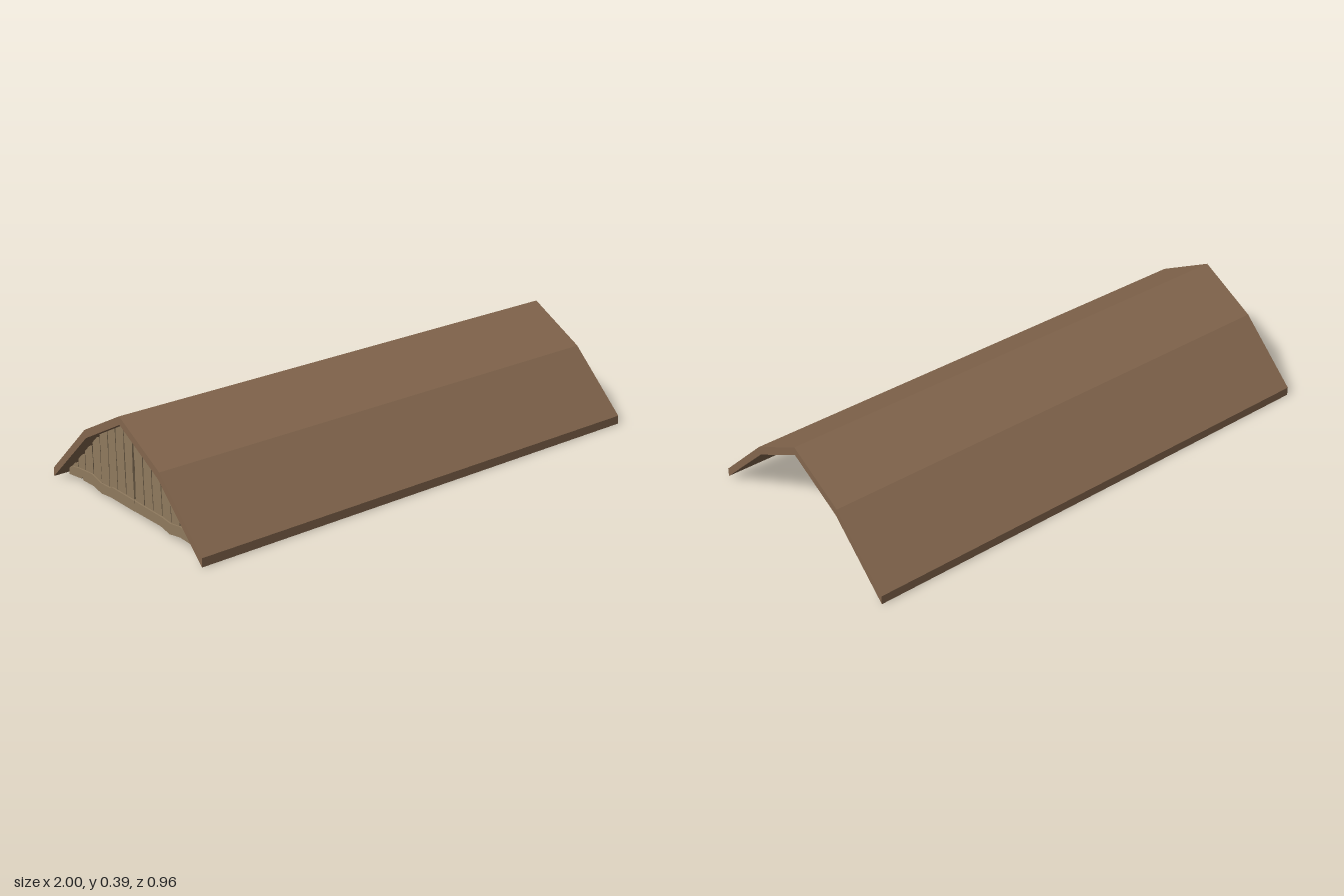
import * as THREE from 'three';

const roofMaterial = new THREE.MeshStandardMaterial({ color: 0x83664d });
const plankMaterial = new THREE.MeshStandardMaterial({ color: 0x8f7a5e });

// Extrudes a (z, y) outline along x, from xMax down to xMax - depth
function slab(name, points, xMax, depth, material) {
  const shape = new THREE.Shape(points.map(([z, y]) => new THREE.Vector2(z, y)));
  const geometry = new THREE.ExtrudeGeometry(shape, { depth, bevelEnabled: false });
  geometry.rotateY(-Math.PI / 2);
  const mesh = new THREE.Mesh(geometry, material);
  mesh.name = name;
  mesh.position.x = xMax;
  return mesh;
}

// Height of the roof's underside at a given z
function underside(z) {
  const a = Math.abs(z);
  return a < 0.235 ? 0.358 - a * 0.523 : 0.235 - (a - 0.235) * 0.947;
}

// Small repeatable noise in -1..1
let seed = 7;
function noise() {
  seed = (seed * 16807) % 2147483647;
  return (seed / 2147483647) * 2 - 1;
}

// Upright gable plank with hand-cut wavy edges; a is its inner edge, b its outer
function plank(a, b, side, index) {
  const bottom = 0.025;
  const steep = b > 0.235;
  const topB = underside(b) + (steep ? 0.012 : 0.004);
  const topA = steep ? topB + 0.02 : underside(a) + 0.004;
  const steps = topB > 0.15 ? [0.2, 0.42, 0.62, 0.82] : [0.5];
  const edge = (z, top) =>
    steps.map((t) => [z + noise() * 0.0025, bottom + (top - bottom) * t]);
  const points = [
    [a, bottom], ...edge(a, topA), [a, topA],
    [b, topB], ...edge(b, topB).reverse(), [b, bottom],
  ].map(([z, y]) => [z * side, y]);
  return slab(`gablePlank${index}`, points, -0.928, 0.018, plankMaterial);
}

export function createModel() {
  const model = new THREE.Group();
  model.name = 'gableRoof';

  // Two-pitch roof shell, open underneath
  const outer = [[-0.48, 0.034], [-0.24, 0.262], [0, 0.39], [0.24, 0.262], [0.48, 0.034]];
  const inner = [[0.48, 0], [0.232, 0.233], [0, 0.358], [-0.232, 0.233], [-0.48, 0]];
  model.add(slab('roof', [...outer, ...inner], 1, 2, roofMaterial));

  // Plank wall closing one end
  const gable = new THREE.Group();
  gable.name = 'gableWall';
  for (const side of [1, -1]) {
    const start = side > 0 ? -0.003 : 0.013;
    const pitch = side > 0 ? 0.0557 : 0.0545;
    for (let i = 0; i < 8; i++) {
      const a = start + i * pitch;
      gable.add(plank(a + 0.001, a + pitch - 0.004, side, (side > 0 ? 0 : 8) + i + 1));
    }
  }

  // Rough sill boards across the foot of the planks
  const sillLeft = [
    [0.448, 0.008], [0.35, 0.018], [0.28, 0.02], [0.215, 0.008], [0.16, 0.018], [-0.005, 0.014],
    [-0.005, 0.055], [0.17, 0.055], [0.22, 0.05], [0.28, 0.06], [0.37, 0.055], [0.4, 0.066], [0.448, 0.036],
  ];
  const sillRight = [
    [-0.006, 0.013], [-0.165, 0.012], [-0.225, 0.005], [-0.285, 0.016], [-0.35, 0.013],
    [-0.358, 0.025], [-0.365, 0.016], [-0.45, 0.005], [-0.45, 0.04], [-0.38, 0.052],
    [-0.29, 0.06], [-0.23, 0.045], [-0.165, 0.048], [-0.155, 0.055], [-0.006, 0.055],
  ];
  gable.add(slab('sillBoardLeft', sillLeft, -0.922, 0.03, plankMaterial));
  gable.add(slab('sillBoardRight', sillRight, -0.922, 0.03, plankMaterial));
  model.add(gable);
  return model;
}
